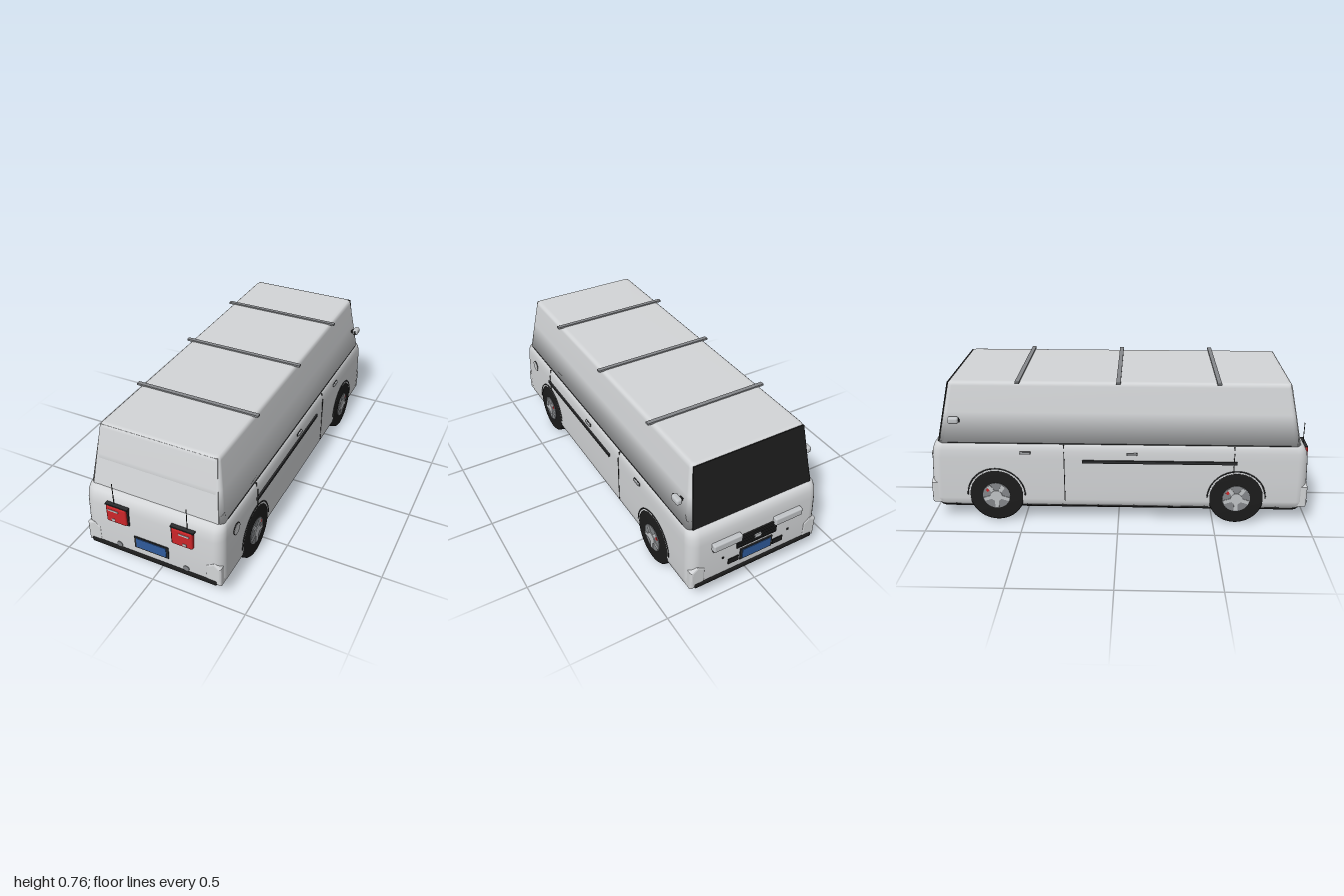
import * as THREE from 'three';
import { RoundedBoxGeometry } from 'three/addons/geometries/RoundedBoxGeometry.js';

const mat = (name, color) => Object.assign(new THREE.MeshStandardMaterial({ color }), { name });

// Stack of rounded rectangles [y, halfWidth, zMin, zMax, cornerRadius], closed at both ends
function loft(rings, seg = 6) {
  const pos = [], idx = [], n = 4 * (seg + 1);
  for (const [y, w, z0, z1, r] of rings) {
    const corners = [[w - r, z1 - r], [r - w, z1 - r], [r - w, z0 + r], [w - r, z0 + r]];
    corners.forEach(([cx, cz], q) => {
      for (let i = 0; i <= seg; i++) {
        const a = (q + i / seg) * Math.PI / 2;
        pos.push(cx + r * Math.cos(a), y, cz + r * Math.sin(a));
      }
    });
  }
  const last = rings.length - 1, bottom = rings.length * n, top = bottom + 1;
  for (const k of [0, last]) pos.push(0, rings[k][0], (rings[k][2] + rings[k][3]) / 2);
  for (let j = 0; j < n; j++) {
    const k = (j + 1) % n;
    for (let i = 0; i < last; i++) {
      const a = i * n + j, b = i * n + k;
      idx.push(a, a + n, b, b, a + n, b + n);
    }
    idx.push(bottom, j, k, top, last * n + k, last * n + j);
  }
  const g = new THREE.BufferGeometry();
  g.setAttribute('position', new THREE.Float32BufferAttribute(pos, 3));
  g.setIndex(idx);
  g.computeVertexNormals();
  return g;
}

export function createModel() {
  const van = new THREE.Group();
  van.name = 'van';
  const paint = mat('bodyPaint', 0xd3d5d7), black = mat('black', 0x1c1c1c), trim = mat('darkTrim', 0x2b2c2d);
  const red = mat('lampRed', 0xcc2629), blue = mat('plateBlue', 0x2f5b9c);
  const silver = mat('silver', 0xc2c5c8), steel = mat('steel', 0x85888b);

  const add = (name, geo, m, x = 0, y = 0, z = 0) => {
    const mesh = new THREE.Mesh(geo, m);
    mesh.name = name;
    mesh.position.set(x, y, z);
    van.add(mesh);
    return mesh;
  };
  // Box given by its limits; a radius rounds its edges
  const box = (name, m, x0, x1, y0, y1, z0, z1, r = 0) => {
    const s = [x1 - x0, y1 - y0, z1 - z0];
    const g = r ? new RoundedBoxGeometry(...s, 3, r) : new THREE.BoxGeometry(...s);
    return add(name, g, m, (x0 + x1) / 2, (y0 + y1) / 2, (z0 + z1) / 2);
  };
  const pair = (name, m, x0, x1, ...rest) => {
    box(name + 'Left', m, x0, x1, ...rest);
    box(name + 'Right', m, -x1, -x0, ...rest);
  };

  // Lower body, cabin and floor
  add('lowerBody', loft([
    [0.086, 0.352, -0.962, 0.962, 0.05], [0.1, 0.367, -0.978, 0.978, 0.055],
    [0.13, 0.372, -0.982, 0.982, 0.055], [0.25, 0.372, -0.98, 0.981, 0.055],
    [0.36, 0.371, -0.974, 0.977, 0.055], [0.4, 0.369, -0.968, 0.97, 0.055],
    [0.425, 0.364, -0.958, 0.958, 0.052], [0.438, 0.356, -0.944, 0.942, 0.048], [0.442, 0.34, -0.925, 0.925, 0.04],
  ]), paint);
  add('cabin', loft([
    [0.43, 0.357, -0.932, 0.932, 0.03], [0.6, 0.332, -0.897, 0.9, 0.026], [0.735, 0.312, -0.869, 0.874, 0.024],
    [0.748, 0.307, -0.865, 0.87, 0.022], [0.754, 0.299, -0.859, 0.863, 0.018], [0.756, 0.285, -0.846, 0.848, 0.012],
  ]), paint);
  add('floor', loft([[0.077, 0.352, -0.955, 0.955, 0.05], [0.087, 0.354, -0.963, 0.963, 0.05]]), black);

  // Sloping end panes
  const pane = (name, m, z, side) => {
    const s = new THREE.Shape([[-0.335, 0], [0.335, 0], [0.303, 0.318], [-0.303, 0.318]].map(p => new THREE.Vector2(...p)));
    const g = new THREE.ExtrudeGeometry(s, { depth: 0.006, bevelEnabled: false });
    g.translate(0, 0, -0.003);
    add(name, g, m, 0, 0.438, z).rotation.x = -side * Math.atan(0.064 / 0.31);
  };
  pane('windscreen', black, -0.932, -1);
  pane('rearPane', paint, 0.93, 1);

  // Roof bars
  for (const z of [-0.51, 0, 0.505]) box('roofBar', steel, -0.33, 0.33, 0.753, 0.763, z - 0.011, z + 0.011);

  // Axle-wide tyres with rims, spokes and calipers on both sides
  const tyre = new THREE.LatheGeometry(
    [[0, -0.376], [0.135, -0.376], [0.143, -0.368], [0.15, -0.327], [0.15, 0.327], [0.143, 0.368], [0.135, 0.376], [0, 0.376]]
      .map(p => new THREE.Vector2(...p)), 48);
  tyre.rotateZ(-Math.PI / 2);
  const disc = (r, h) => new THREE.CylinderGeometry(r, r, h, 32).rotateZ(Math.PI / 2);
  const archGeo = new THREE.TorusGeometry(0.151, 0.004, 6, 40, Math.PI).rotateY(Math.PI / 2);
  for (const z of [0.615, -0.64]) {
    add('tyre', tyre, black, 0, 0.15, z);
    for (const s of [-1, 1]) {
      add('wheelArch', archGeo, trim, s * 0.371, 0.15, z);
      add('rim', disc(0.072, 0.006), steel, s * 0.376, 0.15, z);
      add('hub', disc(0.03, 0.012), silver, s * 0.378, 0.15, z);
      for (let i = 0; i < 5; i++) {
        const spoke = add('spoke', new THREE.BoxGeometry(0.008, 0.042, 0.02).translate(0, 0.047, 0), silver, s * 0.378, 0.15, z);
        spoke.rotation.x = i * Math.PI * 0.4 + Math.PI;
      }
      const caliper = add('caliper', new THREE.BoxGeometry(0.007, 0.015, 0.024), red, s * 0.3775, 0.185, z - 0.042);
      caliper.rotation.x = -0.8;
    }
  }

  // Bumper bars and raised bumper corners at both ends
  const corner = new THREE.ExtrudeGeometry(
    new THREE.Shape([[0.3, 0.115], [0.355, 0.115], [0.355, 0.205], [0.33, 0.225], [0.3, 0.208]].map(p => new THREE.Vector2(...p))),
    { depth: 0.06, bevelThickness: 0.012, bevelSize: 0.012, bevelSegments: 3 });
  for (const s of [-1, 1]) {
    box('bumperBar', black, -0.346, 0.346, 0.104, 0.13, s * 0.972 - 0.018, s * 0.972 + 0.018, 0.008);
    for (const x of [-1, 1]) {
      const g = corner.clone();
      if (x < 0) g.translate(-0.655, 0, 0);
      add('bumperCorner', g, paint, 0, 0, s > 0 ? 0.912 : -0.972);
    }
    // Number plate and its frame
    const z = s * 0.983;
    box('plateFrame', trim, -0.093, 0.093, 0.167, 0.235, z - 0.004, z + 0.004);
    box('plate', blue, -0.082, 0.082, 0.175, 0.229, z - 0.007, z + 0.007);
  }

  // Rear lamps, aerials and round sensors
  pair('lampBacking', trim, 0.115, 0.2, 0.287, 0.392, 0.965, 0.985);
  pair('lampShelf', trim, 0.115, 0.238, 0.385, 0.392, 0.965, 0.993);
  pair('rearLamp', red, 0.122, 0.232, 0.292, 0.387, 0.965, 0.998, 0.008);
  pair('lampStrip', silver, 0.163, 0.218, 0.36, 0.369, 0.994, 1);
  pair('lampReflector', silver, 0.184, 0.202, 0.303, 0.316, 0.994, 1);
  for (const s of [-1, 1]) {
    add('aerial', new THREE.CylinderGeometry(0.002, 0.002, 0.12, 8), black, s * 0.197, 0.448, 0.975);
    add('sensor', disc(0.016, 0.008).rotateY(Math.PI / 2), steel, s * 0.185, 0.143, 0.981);
  }

  // Nose: headlamps, grille and lower vents
  pair('headlamp', silver, 0.095, 0.255, 0.305, 0.348, -1, -0.95, 0.008);
  pair('headlampGap', trim, 0.095, 0.25, 0.297, 0.305, -0.988, -0.95);
  box('grille', black, -0.115, 0.115, 0.25, 0.322, -0.985, -0.96);
  for (const y of [0.265, 0.285, 0.305]) box('grilleSlat', trim, -0.11, 0.11, y - 0.003, y + 0.003, -0.989, -0.97);
  box('grilleCentre', silver, -0.018, 0.018, 0.278, 0.298, -0.992, -0.97);
  pair('noseVent', black, 0.1, 0.16, 0.168, 0.2, -0.985, -0.97);
  pair('noseSensor', black, 0.185, 0.195, 0.222, 0.232, -0.984, -0.97);

  // Side strips, door seams, handles and waist line
  pair('sideStrip', trim, 0.366, 0.38, 0.342, 0.357, -0.185, 0.61);
  for (const z of [0.595, -0.28]) {
    pair('doorSeam', black, 0.366, 0.3735, 0.12, 0.4, z - 0.002, z + 0.002);
    pair('doorSeamTop', black, 0.35, 0.366, 0.4, 0.436, z - 0.002, z + 0.002);
  }
  for (const z of [0.07, -0.48]) {
    pair('handleGap', trim, 0.364, 0.373, 0.385, 0.4, z - 0.028, z + 0.028);
    pair('handle', silver, 0.364, 0.381, 0.387, 0.398, z - 0.026, z + 0.026, 0.003);
  }
  pair('waistLine', trim, 0.345, 0.3575, 0.4385, 0.442, -0.88, 0.88);

  // Fuel cap on the left side
  add('fuelCapGap', disc(0.032, 0.006), black, 0.371, 0.34, 0.825);
  add('fuelCap', disc(0.029, 0.008), paint, 0.371, 0.34, 0.825);

  // Wing mirrors
  pair('mirrorStalk', black, 0.32, 0.356, 0.555, 0.568, -0.85, -0.83);
  pair('mirror', silver, 0.349, 0.381, 0.55, 0.585, -0.868, -0.81, 0.012);
  pair('mirrorGlass', trim, 0.36, 0.371, 0.557, 0.578, -0.812, -0.807);
  return van;
}
